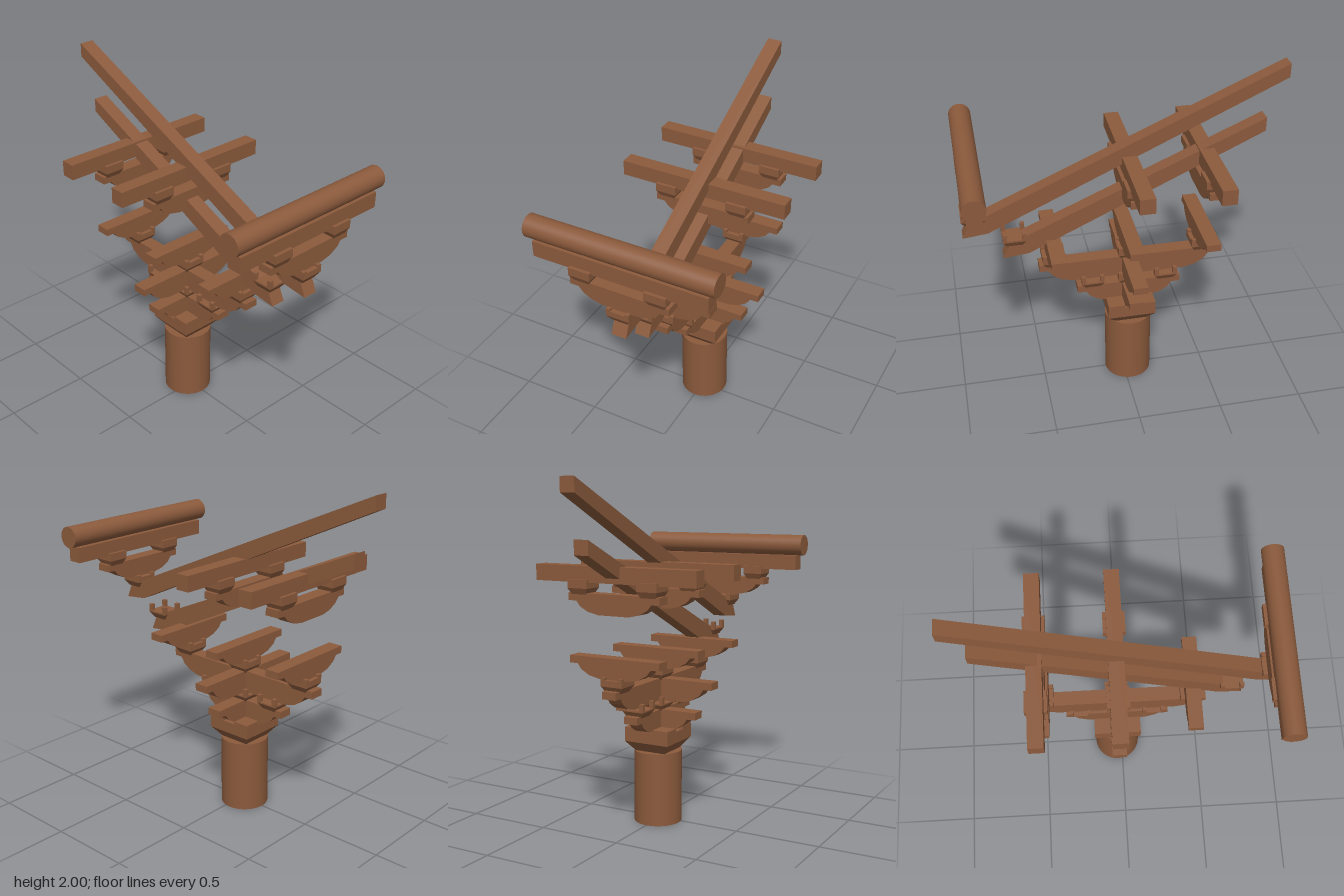
import * as THREE from 'three';

const W = 0.086;                 // timber thickness
const MID = -0.03, BACK = -0.47, FRONT = 0.855;

export function createModel() {
  const model = new THREE.Group();
  model.name = 'bracketSet';
  const wood = new THREE.MeshStandardMaterial({ color: 0x8b5a3c });
  wood.name = 'brown wood';

  const add = (parent, name, geo, x, y, z) => {
    const m = new THREE.Mesh(geo, wood);
    m.name = name;
    m.position.set(x, y, z);
    parent.add(m);
    return m;
  };
  const box = (parent, name, w, h, d, x, y, z) =>
    add(parent, name, new THREE.BoxGeometry(w, h, d), x, y, z);

  // Extrudes a side outline, centred on its thickness
  const plank = (points, turn) => {
    const shape = new THREE.Shape(points.map(p => new THREE.Vector2(p[0], p[1])));
    const g = new THREE.ExtrudeGeometry(shape, { depth: W, bevelEnabled: false });
    g.translate(0, 0, -W / 2);
    if (turn) g.rotateY(-Math.PI / 2);
    return g;
  };

  // Bearing block: tapered foot, body, and raised ears beside the slots
  const block = (name, x, y, z, o = {}) => {
    const { half = 0.067, foot = 0.045, taper = 0.035, height = 0.085, slot = 0.015, cross = true } = o;
    const g = new THREE.Group();
    g.name = name;
    g.position.set(x, y, z);
    model.add(g);
    let f = new THREE.CylinderGeometry(half * Math.SQRT2, foot * Math.SQRT2, taper, 4);
    f.rotateY(Math.PI / 4);
    f = f.toNonIndexed();
    f.computeVertexNormals();
    add(g, 'taperedFoot', f, 0, taper / 2, 0);
    const body = height - taper - slot;
    box(g, 'blockBody', half * 2, body, half * 2, 0, taper + body / 2, 0);
    const ear = half - W / 2, off = half - ear / 2, ey = height - slot / 2;
    for (const sz of [-1, 1]) {
      if (!cross) box(g, 'ear', half * 2, slot, ear, 0, ey, sz * off);
      else for (const sx of [-1, 1]) box(g, 'ear', ear, slot, ear, sx * off, ey, sz * off);
    }
  };

  // Curved bracket arm, lying along x or along z
  const arm = (name, half, bottom, top, z, alongZ = false) => {
    const tip = top - 0.042, d = tip - bottom, a = half - 0.05;
    const side = [[a, tip], [a - 0.025, tip - d * 0.42], [a - 0.075, tip - d * 0.8], [a - 0.14, bottom]];
    const right = [[half, top], [half, tip], ...side];
    const left = right.map(p => [-p[0], p[1]]).reverse();
    add(model, name, plank([...right, ...left], alongZ), 0, 0, z);
  };

  // Column and its large cap block
  add(model, 'column', new THREE.CylinderGeometry(0.14, 0.14, 0.43, 48), 0, 0.215, MID);
  block('capBlock', 0, 0.43, MID, { half: 0.142, foot: 0.095, taper: 0.06, height: 0.145, slot: 0.018 });

  // First tier: crossed arms with three blocks
  arm('firstCrossArm', 0.265, 0.557, 0.68, MID);
  arm('firstLongArm', 0.31, 0.557, 0.68, MID, true);
  for (const z of [0.19, MID, -0.25]) block('firstTierBlock', 0, 0.67, z, { slot: 0.042 });

  // Second tier: longer crossed arms with three blocks
  arm('secondCrossArm', 0.368, 0.735, 0.863, MID);
  arm('secondLongArm', 0.53, 0.735, 0.863, MID, true);
  for (const z of [0.413, MID, BACK]) block('secondTierBlock', 0, 0.85, z);

  // Third tier: parallel cross arms
  for (const z of [0.413, MID, BACK]) arm('thirdCrossArm', 0.282, 0.92, 1.037, z);

  // Sloping lever beams, outlined as [z, y]
  const lower = [[-0.806, 1.687], [-0.806, 1.607], [0.552, 0.966], [0.7, 0.95], [0.658, 1.043]];
  const upper = [[-0.918, 2.0], [-0.918, 1.92], [0.775, 1.13], [0.918, 1.114], [0.88, 1.2]];
  add(model, 'lowerLeverBeam', plank(lower, true), 0, 0, 0);
  add(model, 'upperLeverBeam', plank(upper, true), 0, 0, 0);
  block('lowerLeverBlock', 0, 1.03, 0.632, { slot: 0.04 });
  block('upperLeverBlock', 0, 1.195, 0.853, { height: 0.08, slot: 0.012 });

  // Upper tier: cross arms, pairs of blocks and tie beams
  for (const z of [FRONT, MID, BACK]) {
    arm('upperCrossArm', 0.286, 1.268, 1.382, z);
    for (const s of [-1, 1]) {
      block('upperBlock', s * 0.217, 1.375, z,
        { half: 0.062, foot: 0.045, taper: 0.033, height: 0.08, slot: 0.015, cross: false });
    }
    box(model, 'tieBeam', 1.0, 0.09, W, 0, 1.485, z);
  }

  // Round purlin carried at the front
  const purlin = new THREE.CylinderGeometry(0.063, 0.063, 1.076, 40);
  purlin.rotateZ(Math.PI / 2);
  add(model, 'purlin', purlin, 0, 1.593, FRONT);

  return model;
}
